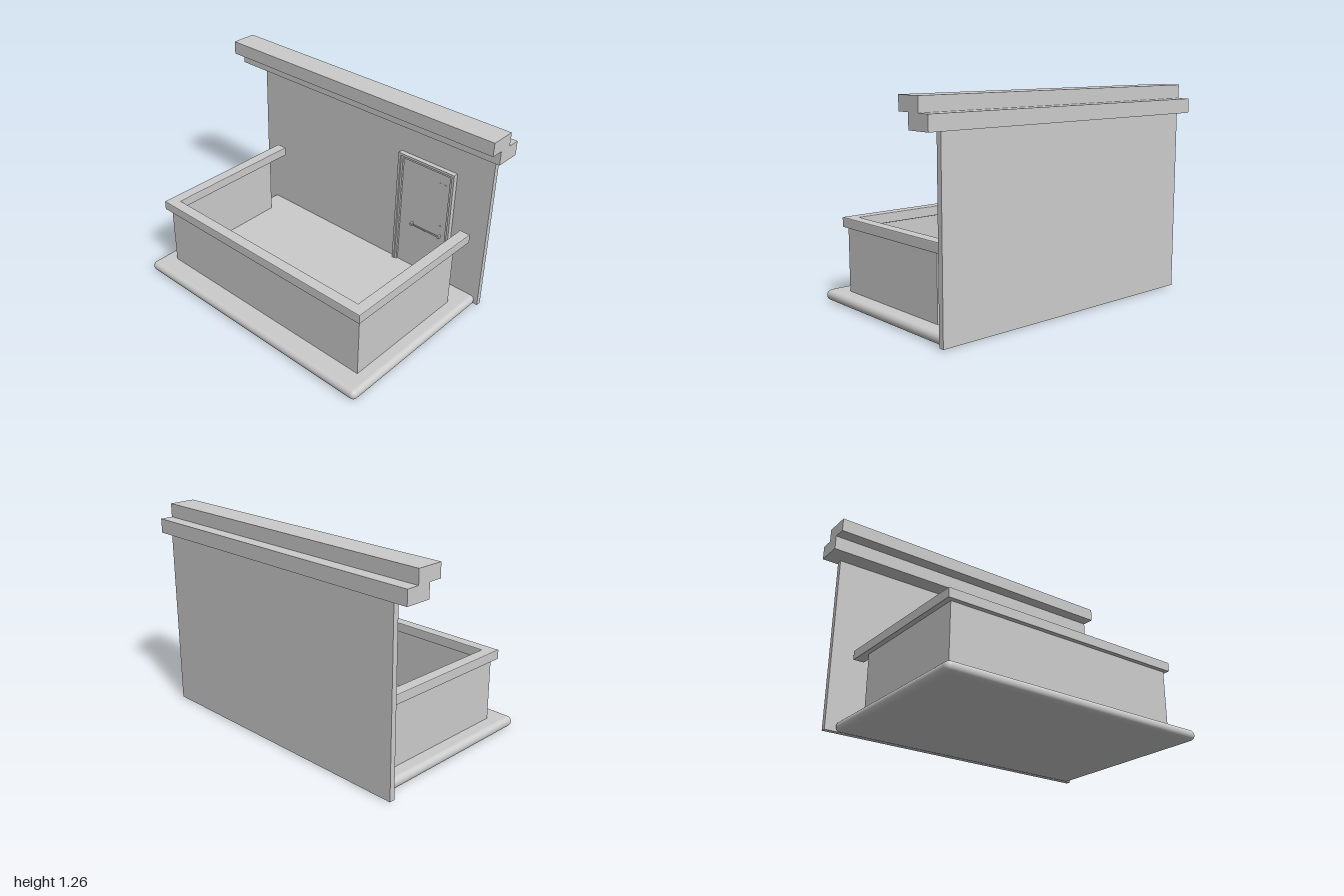
import * as THREE from 'three';
import { RoundedBoxGeometry } from 'three/addons/geometries/RoundedBoxGeometry.js';

const material = new THREE.MeshStandardMaterial({ color: 0xcccccc });

function add(parent, name, geometry) {
  const mesh = new THREE.Mesh(geometry, material);
  mesh.name = name;
  parent.add(mesh);
  return mesh;
}

// Box given by its lowest and highest corners
function box(parent, name, [x0, y0, z0], [x1, y1, z1]) {
  const mesh = add(parent, name, new THREE.BoxGeometry(x1 - x0, y1 - y0, z1 - z0));
  mesh.position.set((x0 + x1) / 2, (y0 + y1) / 2, (z0 + z1) / 2);
  return mesh;
}

// U-shaped outline: three sides of a rectangle, open along the edge v = end
function uShape(u0, u1, end, far, width) {
  const s = Math.sign(far - end) * width;
  return new THREE.Shape([
    [u0, end], [u0, far], [u1, far], [u1, end],
    [u1 - width, end], [u1 - width, far - s], [u0 + width, far - s], [u0 + width, end],
  ].map(([u, v]) => new THREE.Vector2(u, v)));
}

// U-shaped plan laid flat, running around the front and both sides
function surround(parent, name, x0, x1, back, front, width, y0, y1, bevel = 0) {
  const b = bevel;
  const shape = uShape(x0 + b, x1 - b, -back - b, -front + b, width - 2 * b);
  const geometry = new THREE.ExtrudeGeometry(shape, {
    depth: y1 - y0 - 2 * b, bevelEnabled: b > 0, bevelSize: b, bevelThickness: b, bevelSegments: 2,
  });
  geometry.rotateX(-Math.PI / 2);
  add(parent, name, geometry).position.y = y0 + b;
}

// Upright door frame, open at the floor
function doorFrame(parent, name, x0, x1, top, width, z0, z1) {
  const geometry = new THREE.ExtrudeGeometry(uShape(x0, x1, 0.06, top, width), {
    depth: z1 - z0, bevelEnabled: false,
  });
  add(parent, name, geometry).position.z = z0;
}

export function createModel() {
  const model = new THREE.Group();
  model.name = 'balcony';

  // Floor slab with a fully rounded edge
  add(model, 'floorSlab', new RoundedBoxGeometry(1.737, 0.064, 1.155, 5, 0.031))
    .position.set(0.026, 0.032, 0.02);

  // Building wall behind the balcony
  box(model, 'backWall', [-0.905, 0.005, -0.58], [0.915, 1.09, -0.547]);

  // Stepped cornice along the top of the wall
  const profile = new THREE.Shape([
    [0.595, 1.09], [0.595, 1.177], [0.517, 1.177], [0.517, 1.26],
    [0.355, 1.26], [0.355, 1.177], [0.435, 1.177], [0.435, 1.09],
  ].map(([z, y]) => new THREE.Vector2(z, y)));
  const cornice = new THREE.ExtrudeGeometry(profile, { depth: 2, bevelEnabled: false });
  cornice.rotateY(Math.PI / 2);
  add(model, 'cornice', cornice).position.x = -1;

  // Parapet and its wider handrail
  surround(model, 'parapet', -0.747, 0.803, -0.388, 0.463, 0.018, 0.05, 0.46);
  surround(model, 'handrail', -0.778, 0.824, -0.517, 0.49, 0.07, 0.45, 0.51, 0.005);

  // Door in a stepped frame
  const door = new THREE.Group();
  door.name = 'door';
  model.add(door);
  doorFrame(door, 'outerFrame', 0.265, 0.676, 0.855, 0.016, -0.55, -0.515);
  doorFrame(door, 'innerFrame', 0.28, 0.661, 0.84, 0.016, -0.55, -0.523);
  box(door, 'doorPanel', [0.295, 0.062, -0.55], [0.646, 0.825, -0.535]);

  // Push bar on two brackets, with small fittings
  const bar = add(door, 'pushBar', new THREE.CylinderGeometry(0.005, 0.005, 0.22, 10));
  bar.rotation.z = Math.PI / 2;
  bar.position.set(0.5, 0.385, -0.518);
  for (const x of [0.395, 0.605]) {
    box(door, 'barBracket', [x - 0.006, 0.377, -0.537], [x + 0.006, 0.393, -0.512]);
  }
  for (const [x, y] of [[0.57, 0.75], [0.61, 0.75], [0.6, 0.455]]) {
    box(door, 'doorFitting', [x - 0.005, y - 0.004, -0.537], [x + 0.005, y + 0.004, -0.531]);
  }
  return model;
}
